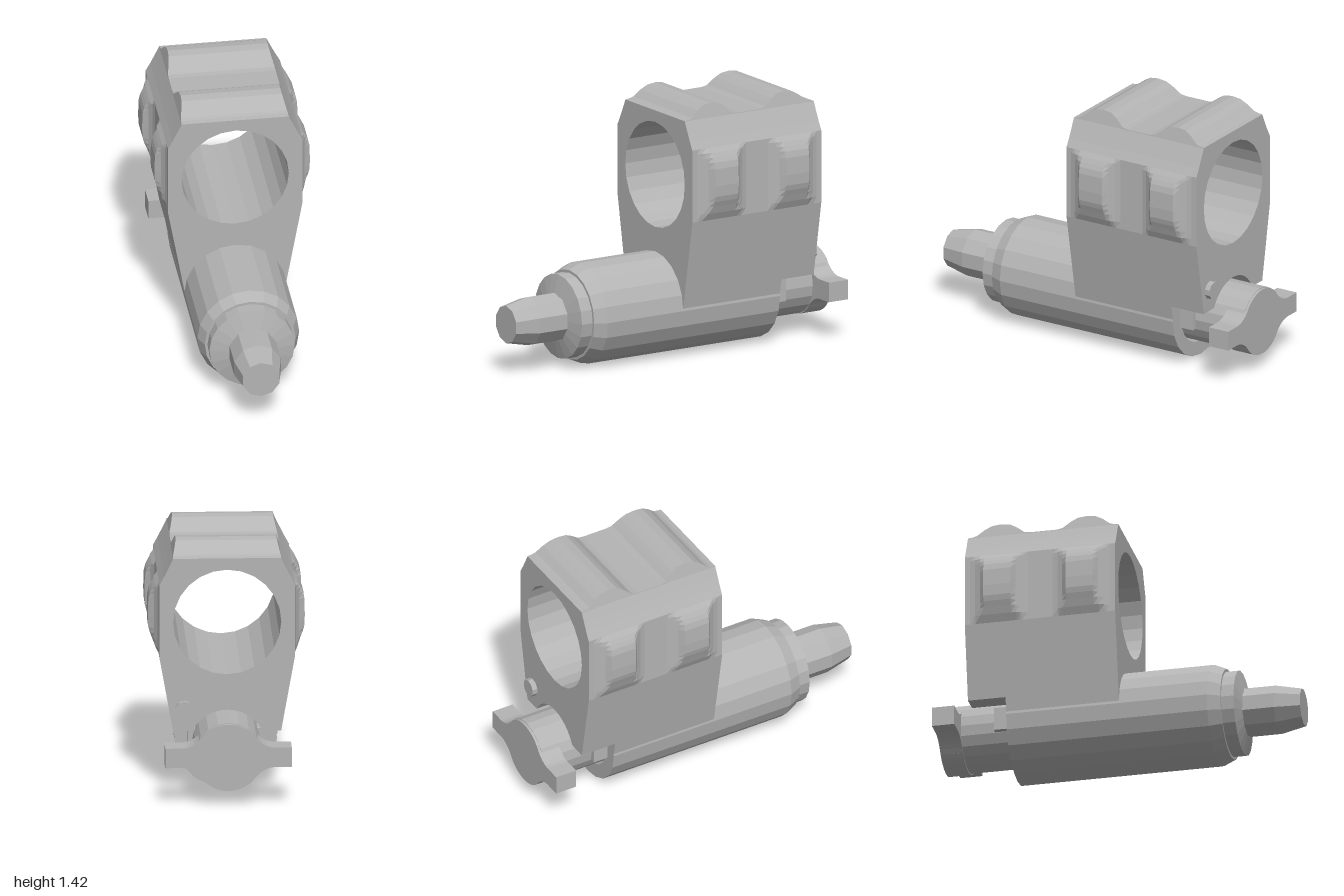
import * as THREE from 'three';

const AXIS_Y = 0.285, HOLE_Y = 0.995, HOLE_R = 0.295, MID_Z = -0.39;

// piecewise linear lookup in a list of [input, output] pairs
function lerpTable(table, t) {
  for (let i = 1; i < table.length; i++) {
    const [a, va] = table[i - 1], [b, vb] = table[i];
    if (t <= b) return va + (vb - va) * (t - a) / (b - a);
  }
  return table[table.length - 1][1];
}

// profile by distance from the middle of the clamp along z
const grooveWidth = [[0, 0.37], [0.07, 0.37], [0.1, 0.378], [0.13, 0.395], [0.155, 0.428],
  [0.305, 0.428], [0.33, 0.395], [0.36, 0.378], [0.39, 0.37], [0.42, 0.37]];
const topHeight = [[0, 1.356], [0.09, 1.356], [0.11, 1.365], [0.15, 1.4], [0.19, 1.423], [0.24, 1.43],
  [0.29, 1.423], [0.33, 1.4], [0.37, 1.365], [0.39, 1.358], [0.42, 1.354]];
const bulge = [[0.37, 0.8], [0.39, 0.84], [0.405, 0.88], [0.417, 0.91], [0.425, 0.94], [0.428, 1.0],
  [0.425, 1.095], [0.417, 1.13], [0.405, 1.155], [0.39, 1.18], [0.37, 1.205]];
const shoulder = [[0.345, 1.25], [0.32, 1.3], [0.295, 1.352]];

// closed cross-section of the clamp at z, counter-clockwise seen from the front
function clampSection(z, bottomY) {
  const d = Math.abs(z - MID_Z), width = lerpTable(grooveWidth, d), top = lerpTable(topHeight, d);
  const half = [];
  for (let i = 0; i <= 6; i++) {
    const a = (i / 6) * 1.1;
    half.push([0.215 * Math.sin(a), AXIS_Y + 0.215 * Math.cos(a)]);
  }
  half.push([0.28 + 0.18 * (bottomY - 0.3), bottomY]);
  bulge.forEach(([x, y]) => half.push([Math.min(x, width), y]));
  half.push(...shoulder, [0.295 - 0.27 * (top - 1.354), top]);
  return half.concat(half.slice(1).reverse().map(([x, y]) => [-x, y]));
}

// skin between successive sections
function loft(stations) {
  const pos = [];
  for (let i = 0; i + 1 < stations.length; i++) {
    const A = stations[i], B = stations[i + 1], n = A.pts.length;
    for (let j = 0; j < n; j++) {
      const k = (j + 1) % n;
      const a = [...A.pts[j], A.z], b = [...A.pts[k], A.z], c = [...B.pts[k], B.z], d = [...B.pts[j], B.z];
      pos.push(...a, ...d, ...c, ...a, ...c, ...b);
    }
  }
  const geo = new THREE.BufferGeometry();
  geo.setAttribute('position', new THREE.Float32BufferAttribute(pos, 3));
  return geo;
}

function clampCap(section) {
  const shape = new THREE.Shape(section.map(p => new THREE.Vector2(...p)));
  const hole = [];
  for (let i = 0; i < 24; i++) {
    const a = i * Math.PI / 12;
    hole.push(new THREE.Vector2(HOLE_R * Math.sin(a), HOLE_Y + HOLE_R * Math.cos(a)));
  }
  shape.holes.push(new THREE.Path(hole));
  return new THREE.ShapeGeometry(shape);
}

// turned part along z from [radius, z] points
function turned(points, sides, x, y) {
  return new THREE.LatheGeometry(points.map(p => new THREE.Vector2(...p)), sides)
    .rotateX(Math.PI / 2).translate(x, y, 0);
}

export function createModel() {
  const model = new THREE.Group();
  const metal = new THREE.MeshStandardMaterial({ color: 0xb4b4b4 });
  metal.name = 'grey metal';

  function add(name, geometry, parent = model) {
    const geo = geometry.index ? geometry.toNonIndexed() : geometry;
    geo.computeVertexNormals(); // faceted
    const mesh = new THREE.Mesh(geo, metal);
    mesh.name = name;
    parent.add(mesh);
  }

  // clamp block with finger grooves, ridged top and a round bore
  const clamp = new THREE.Group();
  clamp.name = 'clamp';
  model.add(clamp);
  const steps = [0.42, 0.39, 0.37, 0.36, 0.33, 0.305, 0.29, 0.265, 0.24, 0.21, 0.19, 0.155, 0.13, 0.11, 0.1, 0.07];
  const stations = [];
  for (const d of [...steps, ...steps.slice().reverse().map(s => -s)]) {
    const z = MID_Z + d;
    if (d >= -0.21) stations.push({ z, pts: clampSection(z, 0.3) });
    if (d <= -0.21) stations.push({ z, pts: clampSection(z, 0.38) }); // undercut at the rear
  }
  const first = stations[0], last = stations[stations.length - 1];
  add('clampSkin', loft(stations), clamp);
  add('clampFront', clampCap(first.pts).translate(0, 0, first.z), clamp);
  add('clampBack', clampCap(last.pts).rotateY(Math.PI).translate(0, 0, last.z), clamp);
  add('clampBore', turned([[HOLE_R, first.z], [HOLE_R, last.z]], 24, 0, HOLE_Y), clamp);

  // barrel with an open socket at the rear and a stepped nose
  add('barrel', turned([[0, -0.5], [0.2, -0.5], [0.2, -0.6], [0.28, -0.6], [0.28, 0.52], [0.25, 0.59],
    [0.235, 0.59], [0.235, 0.66], [0.13, 0.685], [0, 0.685]], 20, 0, AXIS_Y));
  add('nozzle', turned([[0.135, 0.68], [0.135, 0.86], [0.105, 1], [0, 1]], 10, 0, AXIS_Y));

  // turning plug with a winged handle
  add('plug', turned([[0, -0.985], [0.187, -0.985], [0.187, -0.5]], 20, 0, AXIS_Y));
  const wing = new THREE.Shape();
  wing.moveTo(0.345, -0.055);
  wing.lineTo(0.345, 0.055);
  wing.lineTo(0.25, 0.055);
  wing.quadraticCurveTo(0.18, 0.06, 0.132, 0.132);
  wing.absarc(0, 0, 0.187, Math.PI / 4, Math.PI * 3 / 4, false);
  wing.quadraticCurveTo(-0.18, 0.06, -0.25, 0.055);
  wing.lineTo(-0.345, 0.055);
  wing.lineTo(-0.345, -0.055);
  wing.lineTo(-0.25, -0.055);
  wing.quadraticCurveTo(-0.18, -0.06, -0.132, -0.132);
  wing.absarc(0, 0, 0.187, Math.PI * 5 / 4, Math.PI * 7 / 4, false);
  wing.quadraticCurveTo(0.18, -0.06, 0.25, -0.055);
  add('wingHandle', new THREE.ExtrudeGeometry(wing, { depth: 0.125, bevelEnabled: false, curveSegments: 6 })
    .translate(0, AXIS_Y - 0.005, -1));

  // locking lugs on both sides of the plug
  for (const side of [-1, 1]) {
    add(side > 0 ? 'leftLug' : 'rightLug',
      new THREE.BoxGeometry(0.06, 0.13, 0.1).translate(side * 0.18, 0.295, -0.635));
  }

  // stop pin on the back of the clamp
  add('stopPin', turned([[0, -0.84], [0.05, -0.84], [0.05, -0.8]], 10, 0.235, 0.505));
  return model;
}
